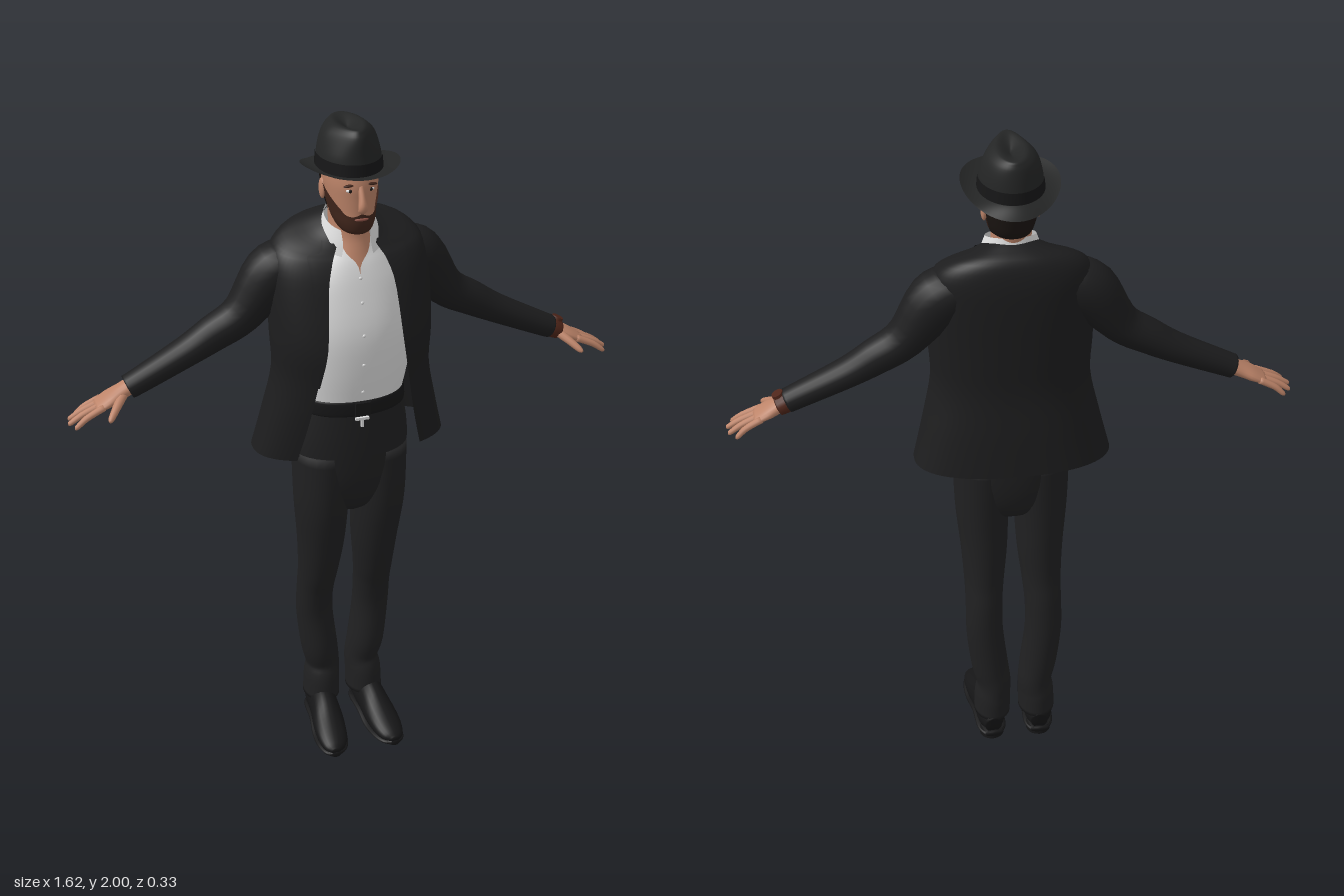
import * as THREE from 'three';
import { mergeVertices } from 'three/addons/utils/BufferGeometryUtils.js';

const V = (x, y, z) => new THREE.Vector3(x, y, z);
const mat = (name, color, side = THREE.FrontSide) => {
  const m = new THREE.MeshStandardMaterial({ color, side });
  m.name = name;
  return m;
};

// Smooth interpolation between rows of numbers
function row(L, t) {
  const n = L.length - 1, i = Math.min(Math.floor(t), n - 1), f = t - i;
  return L[i].map((b, k) => {
    const a = L[Math.max(i - 1, 0)][k], c = L[i + 1][k], d = L[Math.min(i + 2, n)][k];
    return b + 0.5 * f * (c - a + f * (2 * a - 5 * b + 4 * c - d + f * (3 * (b - c) + d - a)));
  });
}

// Grid surface from fn(u, v)
function patch(fn, nu, nv) {
  const pos = [], idx = [];
  for (let j = 0; j <= nv; j++) for (let i = 0; i <= nu; i++) pos.push(...fn(i / nu, j / nv).toArray());
  for (let j = 0; j < nv; j++) for (let i = 0; i < nu; i++) {
    const a = j * (nu + 1) + i, d = a + nu + 1;
    idx.push(a, a + 1, d + 1, a, d + 1, d);
  }
  let g = new THREE.BufferGeometry();
  g.setAttribute('position', new THREE.Float32BufferAttribute(pos, 3));
  g.setIndex(idx);
  g = mergeVertices(g);
  g.computeVertexNormals();
  return g;
}

// Point on a body surface; rows are [y, halfWidth, frontZ, backZ, openingX, tilt]
function bodyPoint(L, t, a, e = 1) {
  const [y, w, zf, zb, , tilt] = row(L, t);
  const s = Math.sin(a), c = Math.cos(a), p = (q) => Math.sign(q) * Math.abs(q) ** e;
  const z = (zf + zb) / 2 + (zf - zb) / 2 * p(c);
  return V(w * p(s), y - tilt * (z + 0.06), z);
}
const angleAt = (x, w, e) => (w > 0.001 ? Math.asin(Math.min(1, Math.max(0, x / w) ** (1 / e))) : 0);
function loft(L, e = 1, nu = 40) {
  const n = L.length - 1;
  return patch((u, v) => {
    const r = row(L, v * n), a0 = angleAt(r[4], r[1], e);
    return bodyPoint(L, v * n, a0 + u * (2 * Math.PI - 2 * a0), e);
  }, nu, n * 4);
}

// Capped limb; rows are [x, y, z, radius across, radius along ref]
function limb(P, ref = V(0, 0, 1), nu = 18, minY = -1) {
  const n = P.length - 1, rows = n * 4;
  return patch((u, v) => {
    const j = Math.round(v * (rows + 2)) - 1, t = Math.min(Math.max(j, 0), rows) / 4;
    const [x, y, z, ra, rb] = row(P, t), c = V(x, y, z);
    if (j < 0 || j > rows) return c;
    const T = V(...row(P, Math.min(n, t + 0.05))).sub(V(...row(P, Math.max(0, t - 0.05)))).normalize();
    const N = T.clone().cross(ref).normalize(), B = N.clone().cross(T), a = u * 2 * Math.PI;
    c.addScaledVector(B, Math.cos(a) * rb).addScaledVector(N, Math.sin(a) * ra);
    c.y = Math.max(c.y, minY);
    return c;
  }, nu, rows + 2);
}

export function createModel() {
  const D = THREE.DoubleSide, model = new THREE.Group();
  const jacket = mat('jacket cloth', 0x1d1d1e, D), trousers = mat('trouser cloth', 0x202021);
  const felt = mat('hat felt', 0x242525, D), leather = mat('black leather', 0x161617);
  const skin = mat('skin', 0xbd8469), beard = mat('beard', 0x40251b, D), hair = mat('hair', 0x1b1512, D);
  const shirt = mat('white shirt', 0xdfdfdf, D), strap = mat('brown strap', 0x4e2519), lip = mat('lips', 0x8f5347);
  const add = (name, geo, m, parent = model) => {
    const mesh = new THREE.Mesh(geo, m);
    mesh.name = name;
    parent.add(mesh);
    return mesh;
  };
  const ball = (name, m, x, y, z, a, b, c) => {
    const o = add(name, new THREE.SphereGeometry(1, 16, 12), m);
    o.position.set(x, y, z);
    o.scale.set(a, b, c);
    return o;
  };
  const box = (name, m, x, y, z, a, b, c) => {
    const o = add(name, new THREE.BoxGeometry(a, b, c), m);
    o.position.set(x, y, z);
    return o;
  };

  // Jacket with open front
  const J = [[1.03, .285, .115, -.165, .185, 0], [1.15, .255, .135, -.155, .157, 0], [1.28, .228, .153, -.142, .133, 0],
    [1.40, .232, .16, -.145, .112, 0], [1.56, .232, .118, -.15, .098, 0], [1.64, .22, .088, -.147, .08, .1],
    [1.685, .18, .07, -.13, .068, .3], [1.715, .11, .056, -.095, .055, .4], [1.735, .068, .05, -.07, .048, .4]];
  add('jacketBody', loft(J, .85, 56), jacket);
  // Cloth panel lying on the jacket between two heights and two x positions
  const panel = (t0, t1, s, x0, x1) => patch((u, v) => {
    const t = t0 + v * (t1 - t0), r = row(J, t), a = x0(v, r) * (1 - u) + x1(v, r) * u;
    const p = bodyPoint(J, t, angleAt(a, r[1], .85), .85);
    return V(s * (p.x + .002), p.y, p.z + .006);
  }, 6, 16);
  for (const s of [-1, 1]) {
    add('lapel', panel(2, 7, s, (v, r) => r[4] - .004,
      (v, r) => r[4] + .065 * Math.min(1, v * 1.5) * (v > .75 ? .55 : 1)), jacket);
    add('pocketFlap', panel(1.35, 1.65, s, () => .17, () => .222), jacket);
    add('sleeve', limb([[s * .16, 1.60, -.04, .065, .08], [s * .215, 1.562, -.045, .08, .08], [s * .30, 1.453, -.047, .058, .062],
      [s * .385, 1.40, -.05, .051, .054], [s * .465, 1.355, -.05, .043, .049], [s * .60, 1.29, -.045, .036, .041],
      [s * .635, 1.274, -.045, .034, .039]]), jacket);
  }

  // Shirt, collar, buttons and chest
  const S = [[1.195, .15, .118, -.11, 0, 0], [1.30, .17, .132, -.12, 0, 0], [1.42, .18, .135, -.12, 0, 0], [1.54, .165, .112, -.12, 0, 0],
    [1.61, .12, .092, -.11, .003, 0], [1.66, .085, .075, -.09, .032, .1], [1.70, .068, .06, -.075, .045, .2]];
  add('shirt', loft(S, .9), shirt);
  add('shirtCollar', loft([[1.685, .09, .085, -.085, .045, .35], [1.715, .082, .08, -.08, .04, .35],
    [1.75, .07, .07, -.075, .042, .35]], 1), shirt);
  for (let i = 0; i < 5; i++) {
    const p = bodyPoint(S, .5 + i * .75, 0, .9);
    ball('shirtButton', shirt, p.x, p.y, p.z, .005, .005, .003);
  }
  add('neck', loft([[1.50, .10, .105, -.08, 0, 0], [1.58, .095, .088, -.09, 0, 0], [1.64, .066, .067, -.075, 0, 0],
    [1.69, .056, .05, -.07, 0, 0], [1.76, .056, .05, -.08, 0, 0]]), skin);

  // Trousers and belt
  add('hips', loft([[.80, .02, .03, -.04, 0, 0], [.84, .10, .075, -.09, 0, 0], [.92, .155, .105, -.115, 0, 0], [1.05, .172, .115, -.122, 0, 0],
    [1.20, .148, .115, -.115, 0, 0]], .9), trousers);
  add('belt', loft([[1.163, .155, .119, -.12, 0, 0], [1.168, .159, .124, -.123, 0, 0], [1.204, .157, .124, -.123, 0, 0],
    [1.21, .15, .118, -.118, 0, 0]], .9), leather);
  box('buckle', leather, 0, 1.187, .126, .045, .04, .008);
  box('shirtTip', shirt, 0, 1.153, .119, .04, .008, .008);
  box('shirtTipTail', shirt, 0, 1.14, .119, .008, .026, .008);
  for (const s of [-1, 1]) {
    add('trouserLeg', limb([[s * .085, 1.02, -.005, .086, .11], [s * .087, .85, -.005, .08, .105], [s * .084, .70, -.022, .07, .088],
      [s * .087, .58, -.042, .06, .072], [s * .09, .50, -.062, .056, .063], [s * .09, .40, -.075, .056, .057],
      [s * .076, .27, -.075, .056, .063], [s * .064, .20, -.082, .052, .058], [s * .068, .15, -.078, .055, .067],
      [s * .07, .085, -.077, .056, .07]], V(0, 0, 1), 24), trousers);
    // Shoe upper, sole and heel
    const shoe = [[.072, .055, -.138, .035, .025], [.074, .065, -.10, .055, .042], [.078, .06, -.02, .062, .044], [.084, .045, .05, .045, .049],
      [.09, .034, .11, .03, .046], [.095, .026, .15, .019, .033], [.096, .024, .168, .008, .013]];
    const out = shoe.map(([x, ...r]) => [s * x, ...r]);
    add('shoe', limb(out, V(1, 0, 0), 20, .018), leather);
    add('shoeSole', limb(out.map(([x, , z, , w], i) => [x, i < 3 ? .02 : .011, z, .009, w * 1.07]), V(1, 0, 0)), leather);
    const heel = add('shoeHeel', new THREE.CylinderGeometry(.038, .038, .026, 20), leather);
    heel.position.set(s * .074, .013, -.1);
  }

  // Hands
  for (const s of [-1, 1]) {
    const hand = new THREE.Group();
    hand.name = s > 0 ? 'leftHand' : 'rightHand';
    model.add(hand);
    add('palm', limb([[s * .61, 1.285, -.045, .024, .028], [s * .655, 1.264, -.045, .021, .032], [s * .69, 1.247, -.044, .018, .041],
      [s * .728, 1.228, -.044, .011, .04]]), skin, hand);
    [[-.076, .785, -.086], [-.055, .805, -.062], [-.034, .81, -.032], [-.013, .797, -.002]].forEach(([z0, x, z1]) => add('finger',
      limb([[s * .71, 1.237, z0, .01, .011], [s * (x + .725) / 2, 1.214, (z0 + z1) / 2, .009, .01],
        [s * (x - .006), 1.193, z1, .007, .008], [s * x, 1.19, z1, .003, .003]], V(0, 0, 1), 10), skin, hand));
    add('thumb', limb([[s * .655, 1.26, -.025, .015, .013], [s * .68, 1.242, .01, .012, .011], [s * .70, 1.225, .036, .009, .009],
      [s * .706, 1.22, .046, .004, .004]], V(0, 1, 0), 10), skin, hand);
  }
  add('wristStrap', limb([[.632, 1.276, -.045, .03, .038], [.642, 1.271, -.045, .031, .039], [.66, 1.262, -.045, .029, .038]]), strap);
  const dial = add('watchDial', new THREE.CylinderGeometry(.017, .018, .009, 20), strap);
  dial.position.set(.66, 1.297, -.045);
  dial.rotation.z = -.46;

  // Head
  const H = [[1.708, .012, .07, .02, 0, 0], [1.716, .038, .095, -.01, 0, 0], [1.74, .053, .104, -.05, 0, 0], [1.77, .061, .104, -.085, 0, 0],
    [1.81, .069, .105, -.10, 0, 0], [1.85, .074, .106, -.108, 0, 0], [1.90, .074, .095, -.108, 0, 0]];
  add('head', loft(H, .93), skin);
  // Shell of hair over part of the head
  const shell = (a0, a1, t0, t1, k) => patch((u, v) => {
    const a = a0 + u * (a1 - a0), p = bodyPoint(H, t0(a) * (1 - v) + t1(a) * v, a, .93);
    return V(p.x * k, p.y - (k - 1) * .08 * (1 - v), p.z * k);
  }, 36, 14);
  add('beard', shell(-1.6, 1.6, () => 0, (a) => 3.1 - .25 * Math.sin(Math.min(Math.abs(a), .8) * 3.9) + 1.7 * Math.max(0, Math.abs(a) - .7), 1.065), beard);
  add('backHair', shell(1.85, 2 * Math.PI - 1.85, () => 2.4, () => 6, 1.06), hair);
  add('nose', limb([[0, 1.853, .098, .006, .008], [0, 1.82, .112, .012, .009], [0, 1.795, .12, .013, .013],
    [0, 1.783, .114, .008, .012]], V(1, 0, 0), 14), skin);
  ball('mouth', lip, 0, 1.757, .108, .02, .005, .006);
  for (const s of [-1, 1]) {
    ball('ear', skin, s * .074, 1.812, -.012, .009, .03, .018);
    ball('eye', shirt, s * .029, 1.838, .094, .011, .005, .007);
    ball('iris', hair, s * .029, 1.838, .099, .005, .005, .004);
    ball('eyebrow', beard, s * .031, 1.853, .097, .017, .004, .006).rotation.z = -s * .1;
  }

  // Hat: pinched crown, band and curled brim
  const C = [[1.87, .09, .107, -.12, 0, 0], [1.92, .085, .102, -.118, 0, -.02], [1.96, .074, .099, -.114, 0, -.04],
    [1.983, .057, .09, -.107, 0, -.04], [1.993, .034, .07, -.09, 0, -.04], [1.972, 0, -.005, -.015, 0, -.04]];
  const crown = loft(C, 1, 48), pos = crown.attributes.position;
  for (let i = 0; i < pos.count; i++) {
    const k = Math.max(0, pos.getZ(i) / .1) * THREE.MathUtils.smoothstep(pos.getY(i), 1.91, 1.98);
    pos.setX(i, pos.getX(i) * (1 - .3 * k));
  }
  crown.computeVertexNormals();
  add('hatCrown', crown, felt);
  add('hatBand', loft([[1.878, .092, .11, -.123, 0, 0], [1.912, .089, .107, -.121, 0, 0]]), leather);
  add('hatBrim', patch((u, v) => {
    const a = -u * 2 * Math.PI, k = v * v, s = Math.sin(a), c = Math.cos(a);
    const x = (.086 + .049 * v) * s, z = -.006 + .01 * v + (.111 + .045 * v) * c;
    return V(x, 1.877 + k * (-.01 + .024 * s * s) + .14 * v * z, z);
  }, 56, 8), felt);
  return model;
}
